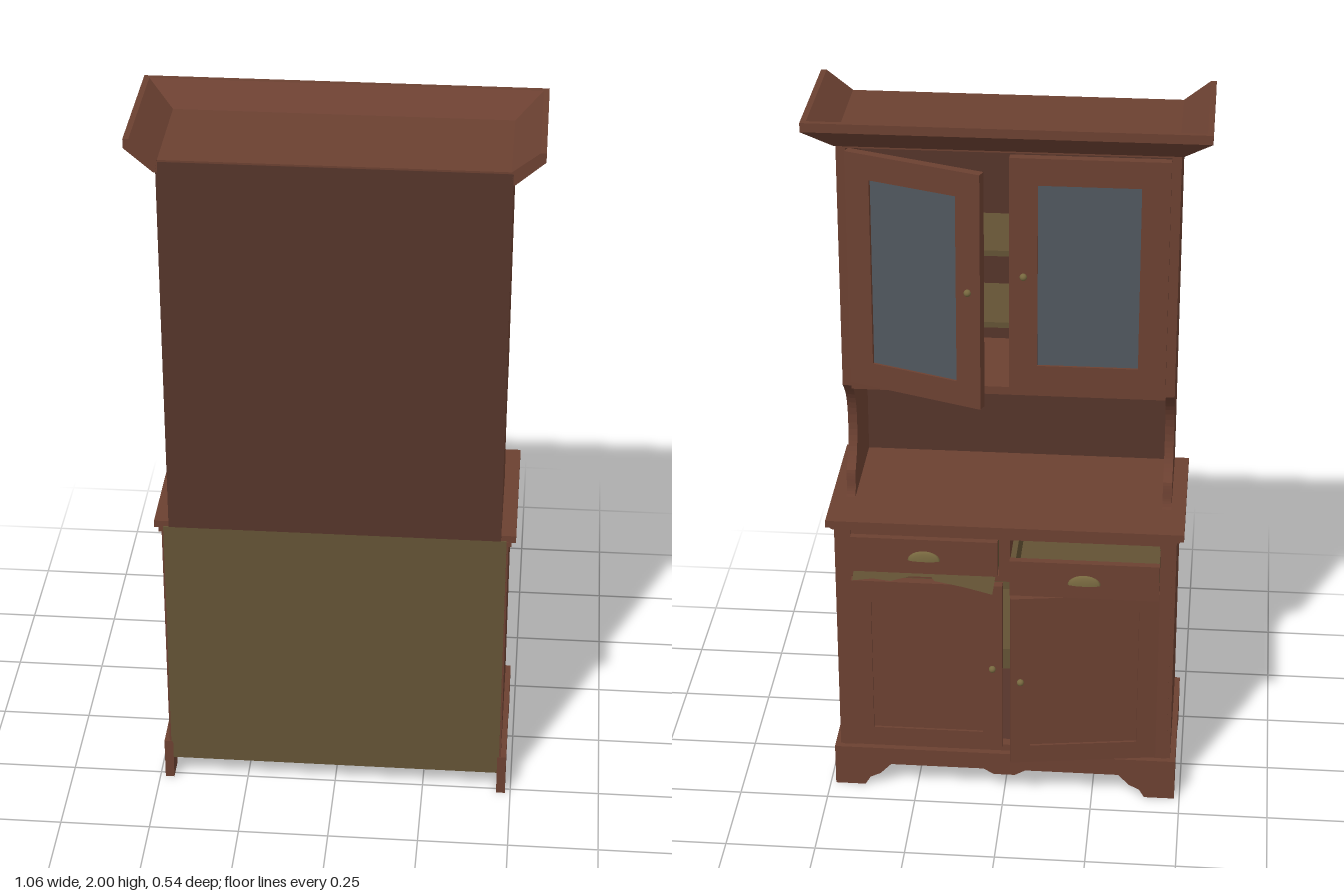
import * as THREE from 'three';

const paint = (color, side = THREE.FrontSide) =>
  new THREE.MeshStandardMaterial({ color, side, roughness: 0.9 });

export function createModel() {
  const root = new THREE.Group();
  root.name = 'dresser';
  const wood = paint(0x6b4031), dark = paint(0x55342a), pale = paint(0x635234);
  const glass = paint(0x50575e), brass = paint(0x77683f);
  const thinWood = paint(0x6b4031, THREE.DoubleSide), thinPale = paint(0x635234, THREE.DoubleSide);
  const thinBrass = paint(0x77683f, THREE.DoubleSide);

  const add = (name, geo, mat, parent = root) => {
    const m = new THREE.Mesh(geo, mat);
    m.name = name;
    parent.add(m);
    return m;
  };
  // box given by its min and max along each axis
  const box = (name, [x0, x1], [y0, y1], [z0, z1], mat, parent) => {
    const m = add(name, new THREE.BoxGeometry(x1 - x0, y1 - y0, z1 - z0), mat, parent);
    m.position.set((x0 + x1) / 2, (y0 + y1) / 2, (z0 + z1) / 2);
  };
  const extrude = (shape, depth) =>
    new THREE.ExtrudeGeometry(shape, { depth, bevelEnabled: false, curveSegments: 10 });
  const polygon = pts => new THREE.Shape(pts.map(p => new THREE.Vector2(...p)));
  // board cut from a (z, y) outline, its outer face at x
  const sideBoard = (name, shape, thick, side, x) => {
    const m = add(name, extrude(shape, thick), wood);
    m.rotation.y = -Math.PI / 2;
    m.position.x = side > 0 ? x : -x + thick;
  };

  // lower carcass
  box('lowerBack', [-0.465, 0.465], [0.07, 0.85], [0.25, 0.268], pale);
  box('lowerFloor', [-0.46, 0.46], [0.115, 0.14], [-0.155, 0.25], dark);
  box('lowerShelf', [-0.45, 0.45], [0.4, 0.415], [-0.08, 0.25], pale);
  box('drawerDivider', [-0.45, 0.45], [0.683, 0.7], [-0.16, 0.25], wood);
  box('topRail', [-0.45, 0.45], [0.815, 0.845], [-0.16, -0.13], wood);
  box('drawerStile', [-0.015, 0.015], [0.69, 0.83], [-0.16, 0.25], wood);
  box('bottomRail', [-0.45, 0.45], [0.11, 0.145], [-0.16, -0.13], wood);
  for (const s of [-1, 1]) {
    const span = (a, b) => s > 0 ? [a, b] : [-b, -a];
    box('lowerSide', span(0.445, 0.47), [0.07, 0.845], [-0.16, 0.265], wood);
    box('lowerStile', span(0.425, 0.46), [0.1, 0.845], [-0.162, -0.13], wood);
  }

  // worktop with a moulding beneath
  box('worktopMoulding', [-0.478, 0.478], [0.832, 0.848], [-0.17, 0.264], wood);
  box('worktop', [-0.49, 0.49], [0.845, 0.866], [-0.185, 0.264], wood);

  // plinth with bracket feet
  const footSide = polygon([[0.268, 0], [0.268, 0.125], [-0.175, 0.125], [-0.175, 0], [-0.11, 0],
    [-0.1, 0.025], [-0.07, 0.04], [-0.045, 0.068], [0.12, 0.068], [0.15, 0.04], [0.19, 0.025], [0.2, 0]]);
  const half = [[0.485, 0.125], [0.485, 0], [0.4, 0], [0.385, 0.025], [0.355, 0.04], [0.325, 0.072],
    [0.06, 0.072], [0.03, 0.055]];
  const apron = polygon([...half, ...half.slice().reverse().map(([x, y]) => [-x, y])]);
  add('frontApron', extrude(apron, 0.025), wood).position.z = -0.178;
  for (const s of [-1, 1]) sideBoard('sideFeet', footSide, 0.025, s, 0.485);

  // upper sides with the scooped front edge
  const scoop = new THREE.Shape();
  scoop.moveTo(0.265, 0.865);
  scoop.lineTo(0.265, 1.93);
  scoop.lineTo(-0.05, 1.93);
  scoop.lineTo(-0.05, 1.215);
  scoop.bezierCurveTo(-0.02, 1.19, 0.03, 1.15, 0.03, 1.06);
  scoop.bezierCurveTo(0.03, 0.99, -0.005, 0.96, -0.025, 0.94);
  scoop.bezierCurveTo(-0.035, 0.91, -0.025, 0.89, -0.045, 0.865);
  for (const s of [-1, 1]) sideBoard('upperSide', scoop, 0.025, s, 0.45);

  // upper cupboard
  box('upperBack', [-0.45, 0.45], [0.85, 1.94], [0.252, 0.268], dark);
  box('cupboardFloor', [-0.426, 0.426], [1.205, 1.228], [-0.05, 0.252], wood);
  box('cupboardTop', [-0.45, 0.45], [1.905, 1.945], [-0.05, 0.267], wood);
  for (const y of [1.38, 1.59]) box('shelf', [-0.425, 0.425], [y, y + 0.016], [0.0, 0.252], pale);

  // cornice: sloping boards mitred round the front and sides
  const profile = [[-0.005, 1.91], [0.005, 1.91], [0.08, 1.975], [0.08, 2], [0.065, 2], [-0.005, 1.945]];
  const stations = [[-1, 0], [-1, 1], [1, 1], [1, 0]];
  const pos = [], idx = [], n = profile.length;
  for (const [s, front] of stations)
    for (const [o, y] of profile) pos.push(s * (0.45 + o), y, front ? -0.047 - o : 0.268);
  for (let i = 0; i < 3; i++)
    for (let j = 0; j < n; j++) {
      const a = i * n + j, b = i * n + (j + 1) % n;
      idx.push(a, b, a + n, b, b + n, a + n);
    }
  for (let j = 1; j < n - 1; j++) idx.push(0, j + 1, j, 3 * n, 3 * n + j, 3 * n + j + 1);
  let cornice = new THREE.BufferGeometry();
  cornice.setAttribute('position', new THREE.Float32BufferAttribute(pos, 3));
  cornice.setIndex(idx);
  cornice = cornice.toNonIndexed();
  cornice.computeVertexNormals();
  add('cornice', cornice, thinWood);

  // framed door hung at its outer edge; side is the sign of x
  const door = (name, side, hinge, w, [y0, y1], z, rim, fill, angle) => {
    const g = new THREE.Group();
    g.name = name;
    g.position.set(side * hinge, 0, z);
    g.rotation.y = -side * angle;
    root.add(g);
    const span = (a, b) => side > 0 ? [-b, -a] : [a, b];
    const d = [-0.025, 0];
    box('doorStile', span(0, rim), [y0, y1], d, wood, g);
    box('doorStile', span(w - rim, w), [y0, y1], d, wood, g);
    box('doorRail', span(rim, w - rim), [y0, y0 + rim], d, wood, g);
    box('doorRail', span(rim, w - rim), [y1 - rim, y1], d, wood, g);
    box('doorPanel', span(rim, w - rim), [y0 + rim, y1 - rim], [-0.018, -0.007], fill, g);
    const knob = add('knob', new THREE.SphereGeometry(0.01, 12, 8), brass, g);
    knob.position.set(-side * (w - rim / 2), (y0 + y1) / 2, -0.028);
  };
  door('glazedDoorOpen', 1, 0.418, 0.39, [1.23, 1.9], -0.036, 0.07, glass, 0.355);
  door('glazedDoorClosed', -1, 0.425, 0.42, [1.23, 1.9], -0.046, 0.075, glass, 0);
  door('lowerDoorClosed', 1, 0.425, 0.42, [0.145, 0.68], -0.158, 0.055, wood, 0);
  door('lowerDoorOpen', -1, 0.425, 0.41, [0.145, 0.68], -0.163, 0.055, wood, 0.15);

  // drawers, one pulled out
  const drawer = (name, x, z) => {
    const g = new THREE.Group();
    g.name = name;
    g.position.set(x, 0, z);
    root.add(g);
    box('drawerFront', [-0.203, 0.203], [0.703, 0.81], [0, 0.02], wood, g);
    box('drawerBottom', [-0.195, 0.195], [0.708, 0.716], [0.02, 0.35], pale, g);
    box('drawerBack', [-0.195, 0.195], [0.716, 0.8], [0.34, 0.35], pale, g);
    for (const s of [-1, 1])
      box('drawerSide', s > 0 ? [0.187, 0.202] : [-0.202, -0.187], [0.706, 0.807], [0.02, 0.35], pale, g);
    const cup = add('cupHandle',
      new THREE.SphereGeometry(0.045, 14, 6, 0, Math.PI * 2, 0, Math.PI / 2), thinBrass, g);
    cup.scale.set(1, 0.65, 0.2);
    cup.position.set(0, 0.745, 0);
  };
  drawer('drawerOpen', -0.225, -0.265);
  drawer('drawerClosed', 0.222, -0.17);

  // splintered board sticking out below the closed drawer
  const splinter = polygon([[0.025, -0.14], [0.025, -0.265], [0.06, -0.25], [0.11, -0.23], [0.19, -0.205],
    [0.2, -0.185], [0.26, -0.185], [0.31, -0.215], [0.36, -0.205], [0.415, -0.22], [0.42, -0.14]]);
  const board = add('splinteredBoard', new THREE.ShapeGeometry(splinter), thinPale);
  board.rotation.x = Math.PI / 2;
  board.position.y = 0.702;

  return root;
}
